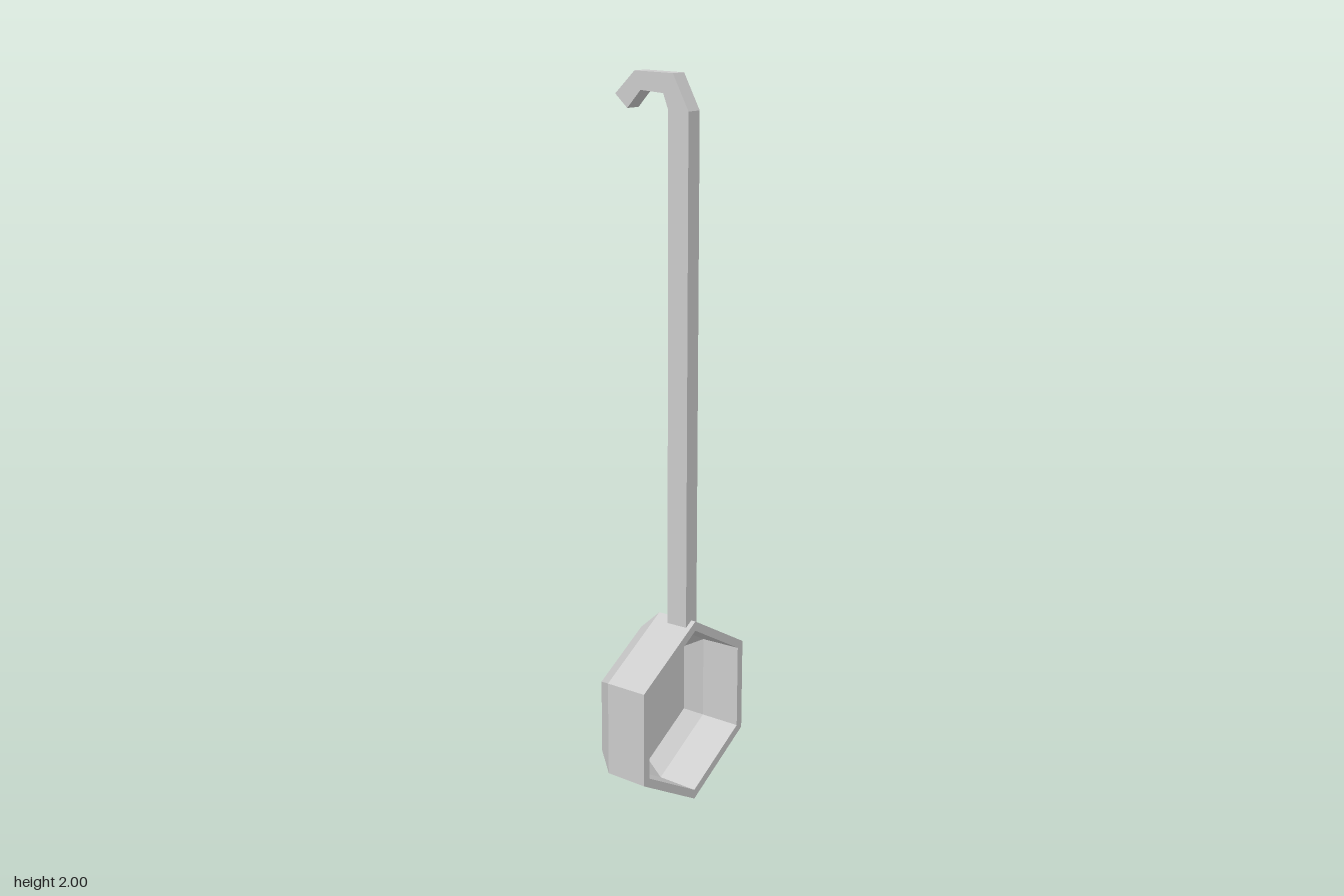
import * as THREE from 'three';

const material = new THREE.MeshStandardMaterial({ color: 0xcccccc, flatShading: true });
const points = (list) => list.map(([a, b]) => new THREE.Vector2(a, b));

// Hexagonal hollow bowl: closed wall profile (radius, depth) turned in six steps, opening to +z
function createBowl() {
  const profile = points([
    [0, -0.063], [0.207, -0.063], [0.265, 0], [0.267, 0.123],
    [0.24, 0.123], [0.237, 0.005], [0.196, -0.038], [0, -0.038],
  ]);
  const geometry = new THREE.LatheGeometry(profile, 6).rotateX(Math.PI / 2);
  const bowl = new THREE.Mesh(geometry, material);
  bowl.name = 'bowl';
  bowl.position.y = 0.271;
  return bowl;
}

// Square-section handle with a faceted hook: side outline (z, y) extruded across x
function createHandle() {
  const width = 0.048;
  const outline = new THREE.Shape(points([
    [0.109, 0.522], [0.109, 1.905], [0.06, 1.997], [-0.061, 2], [-0.124, 1.94],
    [-0.085, 1.905], [-0.042, 1.952], [0.03, 1.947], [0.046, 1.905], [0.046, 0.522],
  ]));
  const geometry = new THREE.ExtrudeGeometry(outline, { depth: width, bevelEnabled: false })
    .rotateY(-Math.PI / 2)
    .translate(width / 2, 0, 0);
  const handle = new THREE.Mesh(geometry, material);
  handle.name = 'hookedHandle';
  return handle;
}

export function createModel() {
  const ladle = new THREE.Group();
  ladle.name = 'ladle';
  ladle.add(createBowl(), createHandle());
  return ladle;
}
